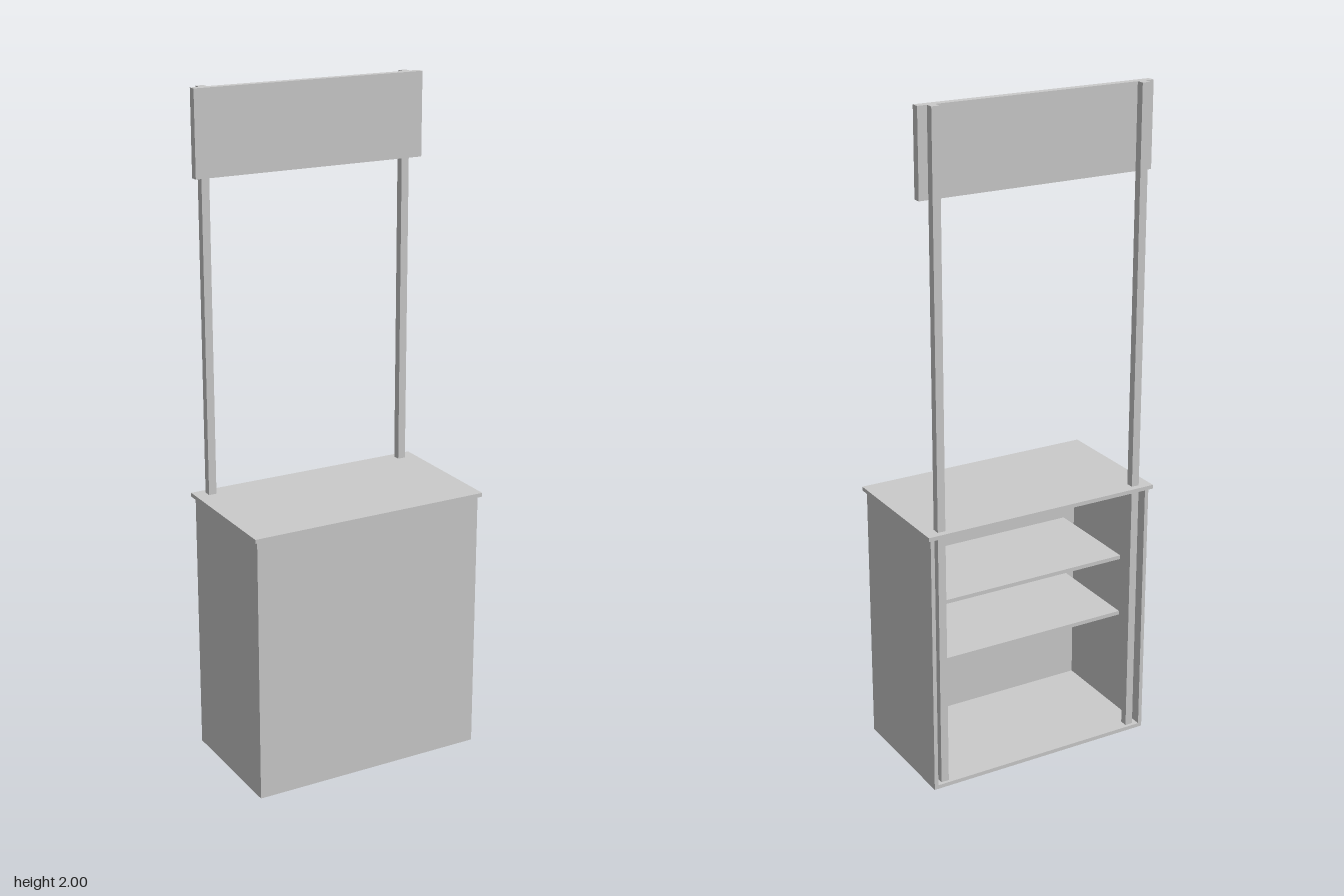
import * as THREE from 'three';

export function createModel() {
  const group = new THREE.Group();
  const material = new THREE.MeshStandardMaterial({ color: 0xcccccc, flatShading: true });

  // Box given by its [min, max] extent on each axis
  function addBox(name, [x0, x1], [y0, y1], [z0, z1]) {
    const mesh = new THREE.Mesh(new THREE.BoxGeometry(x1 - x0, y1 - y0, z1 - z0), material);
    mesh.position.set((x0 + x1) / 2, (y0 + y1) / 2, (z0 + z1) / 2);
    mesh.name = name;
    group.add(mesh);
  }

  const halfW = 0.363, halfD = 0.2, wall = 0.012, cabinetTop = 0.802;
  const inner = halfW - wall;

  // Cabinet, open at the back
  addBox('cabinetFloor', [-inner, inner], [0, wall], [-halfD, halfD - wall]);
  addBox('frontPanel', [-halfW, halfW], [0, cabinetTop], [halfD - wall, halfD]);

  // Countertop with a small overhang
  addBox('countertop', [-0.373, 0.373], [cabinetTop, 0.814], [-0.209, 0.209]);

  // Two inner shelves
  for (const y of [0.37, 0.557]) {
    addBox('shelf', [-0.313, 0.313], [y, y + 0.012], [-0.135, halfD - wall]);
  }

  // Side panels and full-height sign posts
  for (const [side, s] of [['left', 1], ['right', -1]]) {
    const span = (a, b) => [Math.min(s * a, s * b), Math.max(s * a, s * b)];
    addBox(side + 'SidePanel', span(inner, halfW), [0, cabinetTop], [-halfD, halfD - wall]);
    addBox(side + 'Post', span(0.311, 0.335), [wall, 2], [-0.19, -0.166]);
  }

  // Sign board in front of the posts
  addBox('signBoard', [-halfW, halfW], [1.752, 2], [-0.166, -0.142]);

  return group;
}
